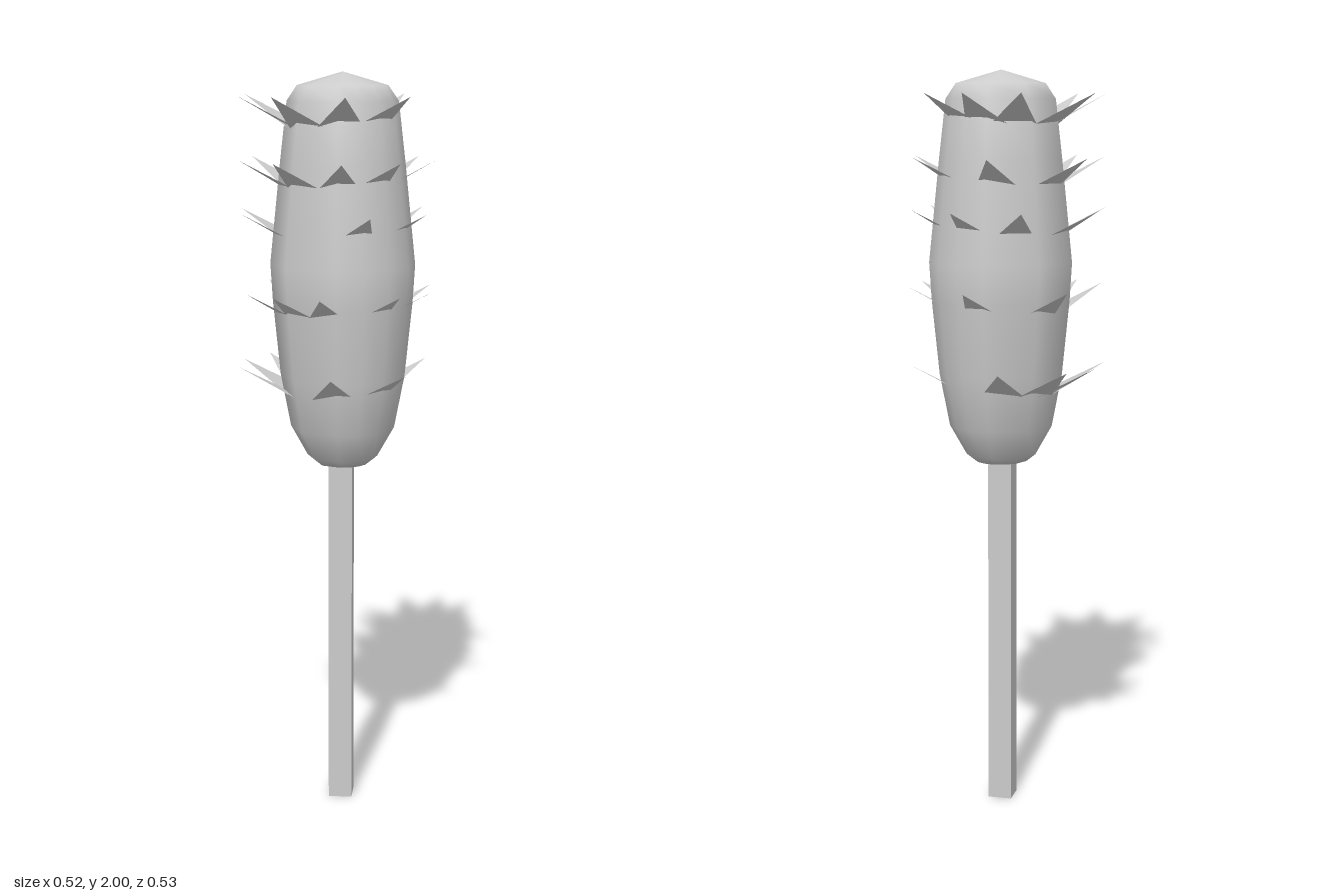
import * as THREE from 'three';

const grey = new THREE.MeshStandardMaterial({ color: 0xcccccc });
const thin = new THREE.MeshStandardMaterial({ color: 0xcccccc, side: THREE.DoubleSide, flatShading: true });

// Club head outline: radius, height
const PROFILE = [
  [0, 0.98], [0.07, 0.96], [0.095, 0.98], [0.14, 1.06], [0.167, 1.2], [0.187, 1.4],
  [0.193, 1.5], [0.165, 1.77], [0.147, 1.925], [0.12, 1.965], [0, 2.0],
].map(([r, y]) => new THREE.Vector2(r, y));

// Spike rows: height of the tips, and directions in degrees from the front towards +x
const ROWS = [
  { y: 1.94, angles: [10, 50, 141, 169, 202, 253, 287, 327] },
  { y: 1.775, angles: [8, 43, 83, 128, 183, 245, 294, 328] },
  { y: 1.64, angles: [24, 67, 124, 161, 202, 259, 293] },
  { y: 1.435, angles: [43, 76, 112, 169, 230, 300, 327, 356] },
  { y: 1.23, angles: [2, 48, 118, 189, 230, 257, 286] },
];

// Flat pointed blade, its root buried in the head and its tip rising outwards
function spikeGeometry() {
  const g = new THREE.BufferGeometry();
  g.setAttribute('position', new THREE.Float32BufferAttribute(
    [-0.065, -0.085, 0.11, 0.065, -0.085, 0.11, 0, 0, 0.264], 3));
  g.computeVertexNormals();
  return g;
}

export function createModel() {
  const model = new THREE.Group();
  model.name = 'spikedClub';

  // Square handle
  const handle = new THREE.Mesh(new THREE.BoxGeometry(0.064, 1.02, 0.064), grey);
  handle.name = 'handle';
  handle.position.set(0.013, 0.51, 0);
  model.add(handle);

  // Head in two halves, the left one with finer facets
  const head = new THREE.Group();
  head.name = 'head';
  head.position.x = 0.016;
  [['headLeft', 8, 0], ['headRight', 4, Math.PI]].forEach(([name, sides, start]) => {
    const half = new THREE.Mesh(new THREE.LatheGeometry(PROFILE, sides, start, Math.PI), grey);
    half.name = name;
    head.add(half);
  });
  model.add(head);

  // Rings of spikes
  const blade = spikeGeometry();
  const spikes = new THREE.Group();
  spikes.name = 'spikes';
  for (const { y, angles } of ROWS) {
    for (const a of angles) {
      const spike = new THREE.Mesh(blade, thin);
      spike.name = 'spike';
      spike.position.y = y;
      spike.rotation.y = THREE.MathUtils.degToRad(a);
      spikes.add(spike);
    }
  }
  model.add(spikes);

  return model;
}
